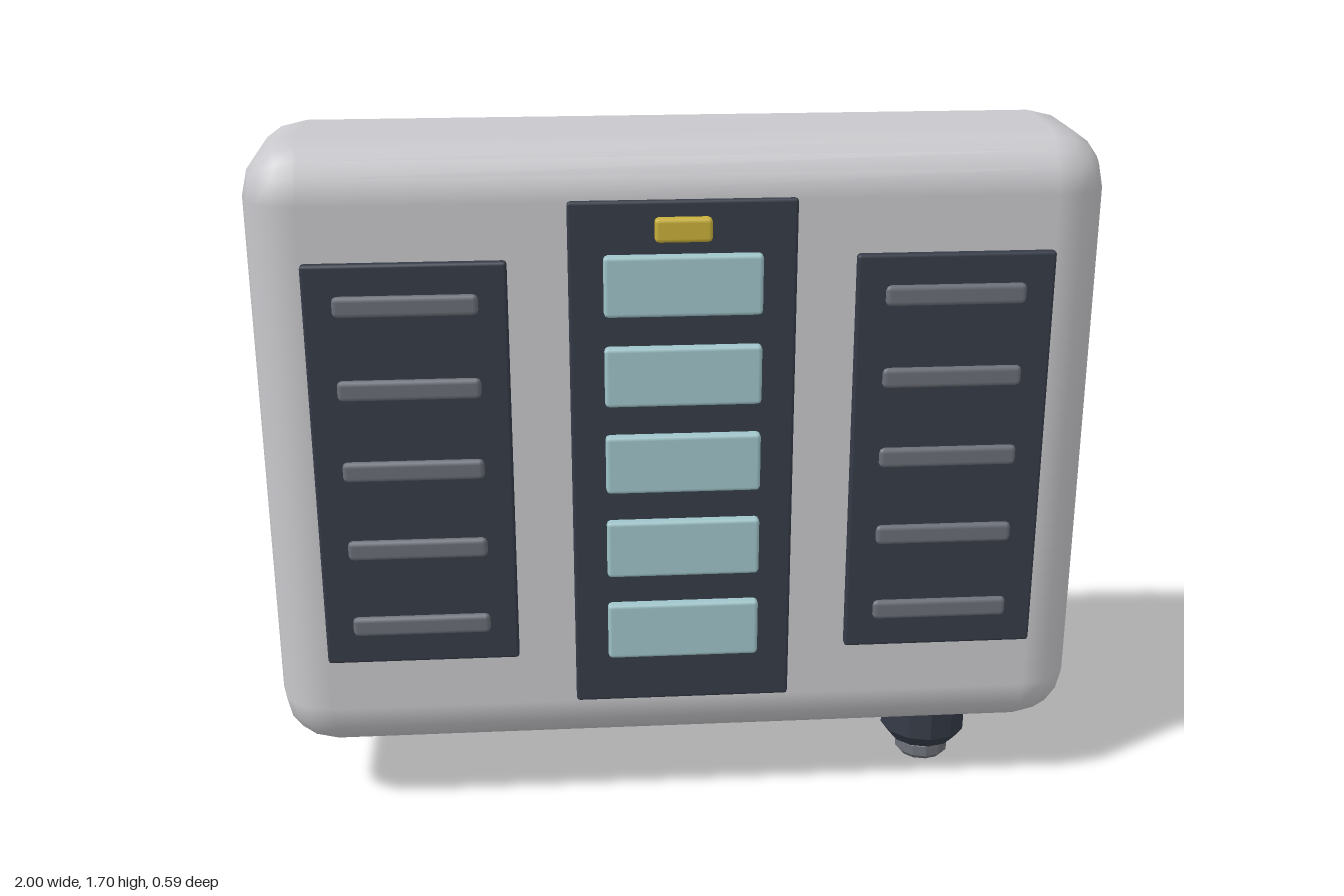
import * as THREE from 'three';
import { RoundedBoxGeometry } from 'three/addons/geometries/RoundedBoxGeometry.js';

const makeMaterial = (name, color) => {
  const m = new THREE.MeshStandardMaterial({ color });
  m.name = name;
  return m;
};

export function createModel() {
  const group = new THREE.Group();
  group.name = 'wallControlUnit';

  const shell = makeMaterial('shellGrey', 0xc8c8cc);
  const dark = makeMaterial('darkSlate', 0x353b47);
  const grey = makeMaterial('ventGrey', 0x6a6e77);
  const aqua = makeMaterial('paleAqua', 0x9fc5ca);
  const amber = makeMaterial('amber', 0xc9b03a);
  const steel = makeMaterial('steelGrey', 0x6e7178);
  steel.flatShading = dark.flatShading = false;

  // Softly bevelled block given by its limits on each axis
  function block(name, material, [x0, x1], [y0, y1], [z0, z1], radius, segments = 1) {
    const geometry = new RoundedBoxGeometry(x1 - x0, y1 - y0, z1 - z0, segments, radius);
    const mesh = new THREE.Mesh(geometry, material);
    mesh.position.set((x0 + x1) / 2, (y0 + y1) / 2, (z0 + z1) / 2);
    mesh.name = name;
    group.add(mesh);
  }

  // Faceted turned part with a chamfered lower rim
  function turned(name, material, profile) {
    const points = profile.map(([r, y]) => new THREE.Vector2(r, y));
    const geometry = new THREE.LatheGeometry(points, 12).toNonIndexed();
    geometry.computeVertexNormals();
    const mesh = new THREE.Mesh(geometry, material);
    mesh.position.set(0.665, 0, 0.025);
    mesh.name = name;
    group.add(mesh);
  }

  // Housing and rear mounting pad
  block('housing', shell, [-1, 1], [0.17, 1.7], [-0.21, 0.255], 0.135, 2);
  block('backPad', dark, [-0.597, 0.597], [0.44, 1.435], [-0.295, -0.15], 0.025, 2);

  // Centre panel with indicator and five keys
  block('centrePanel', dark, [-0.263, 0.263], [0.31, 1.57], [0.225, 0.267], 0.008);
  block('indicator', amber, [-0.066, 0.066], [1.477, 1.533], [0.25, 0.291], 0.01);
  for (let i = 0; i < 5; i++) {
    const y = 0.507 + i * 0.217;
    block('key' + (i + 1), aqua, [-0.183, 0.183], [y - 0.072, y + 0.072], [0.25, 0.29], 0.01);
  }

  // Mirrored side panels, each with five raised slats
  for (const side of [-1, 1]) {
    const name = side > 0 ? 'left' : 'right';
    const cx = side * 0.633;
    block(name + 'Panel', dark, [cx - 0.232, cx + 0.232], [0.44, 1.437], [0.235, 0.275], 0.008);
    for (let i = 0; i < 5; i++) {
      const y = 0.54 + i * 0.2;
      block(name + 'Slat' + (i + 1), grey, [cx - 0.165, cx + 0.165],
        [y - 0.025, y + 0.025], [0.25, 0.287], 0.012);
    }
  }

  // Cable gland under the housing
  turned('glandCollar', dark, [[0, 0.052], [0.088, 0.052], [0.112, 0.085], [0.112, 0.2]]);
  turned('glandTip', steel, [[0, 0], [0.06, 0], [0.07, 0.012], [0.07, 0.04], [0.06, 0.052], [0.06, 0.08]]);

  return group;
}
